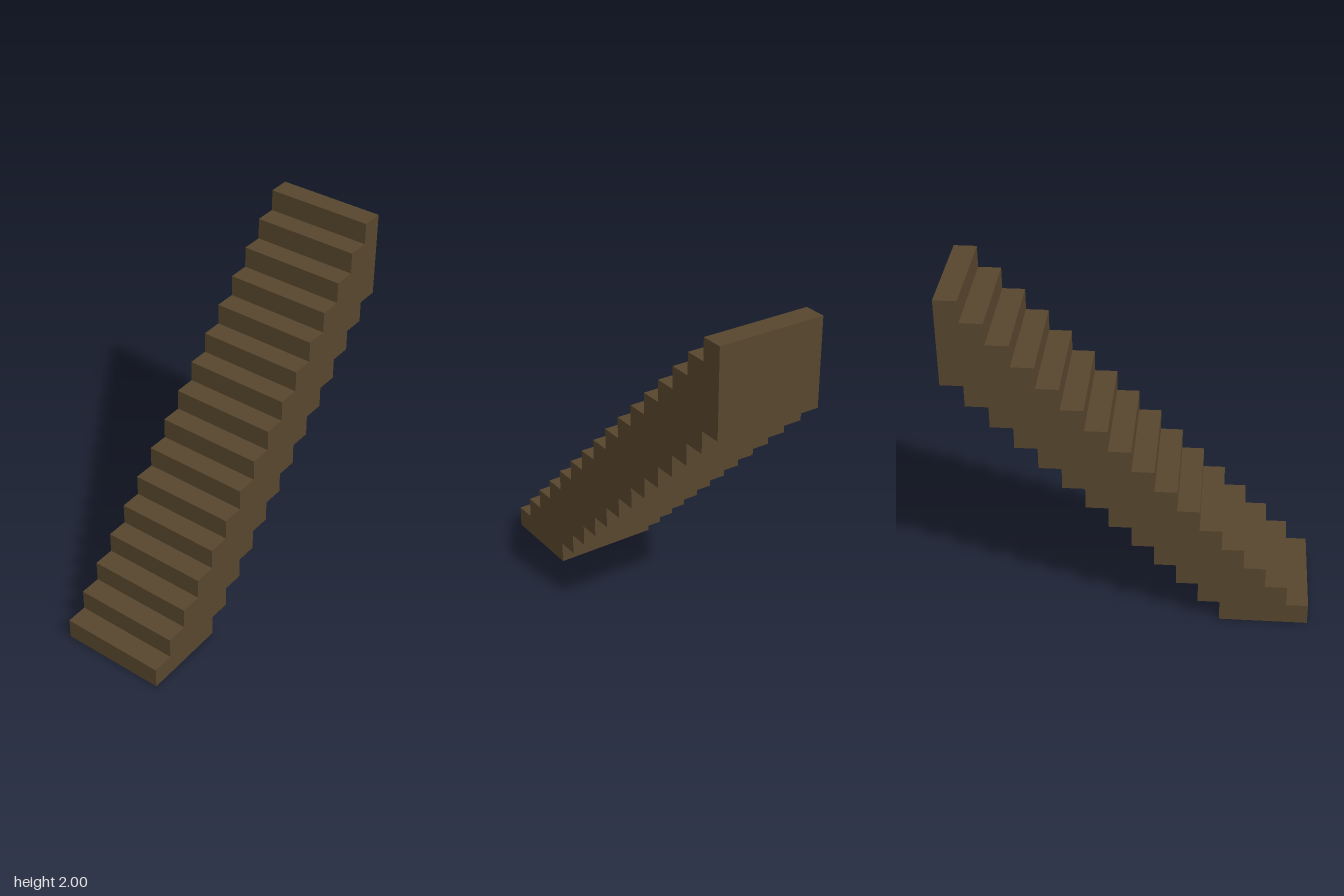
import * as THREE from 'three';

export function createModel() {
  const group = new THREE.Group();
  group.name = 'staircase';
  const brown = new THREE.MeshStandardMaterial({ color: 0x57462d });
  brown.name = 'brown wood';

  const steps = 16, size = 2 / steps, width = 0.62;

  // Side profile in (z, y): treads and risers going up and back
  const profile = new THREE.Shape();
  profile.moveTo(1, 0);
  for (let i = 0; i < steps; i++) {
    const z = 1 - i * size, y = (i + 1) * size;
    profile.lineTo(z, y);
    profile.lineTo(z - size, y);
  }
  // Stepped underside coming back down, four steps deep
  for (let i = steps - 5; i >= 0; i--) {
    const z = 0.5 - i * size, y = (i + 1) * size;
    profile.lineTo(z - size, y);
    profile.lineTo(z, y);
  }
  profile.lineTo(0.5, 0);
  profile.closePath();

  // Extrude across the width, then turn so the profile runs along z
  const geometry = new THREE.ExtrudeGeometry(profile, { depth: width, bevelEnabled: false });
  geometry.translate(0, 0, -width / 2);
  geometry.rotateY(-Math.PI / 2);

  const stairs = new THREE.Mesh(geometry, brown);
  stairs.name = 'stairs';
  group.add(stairs);
  return group;
}
